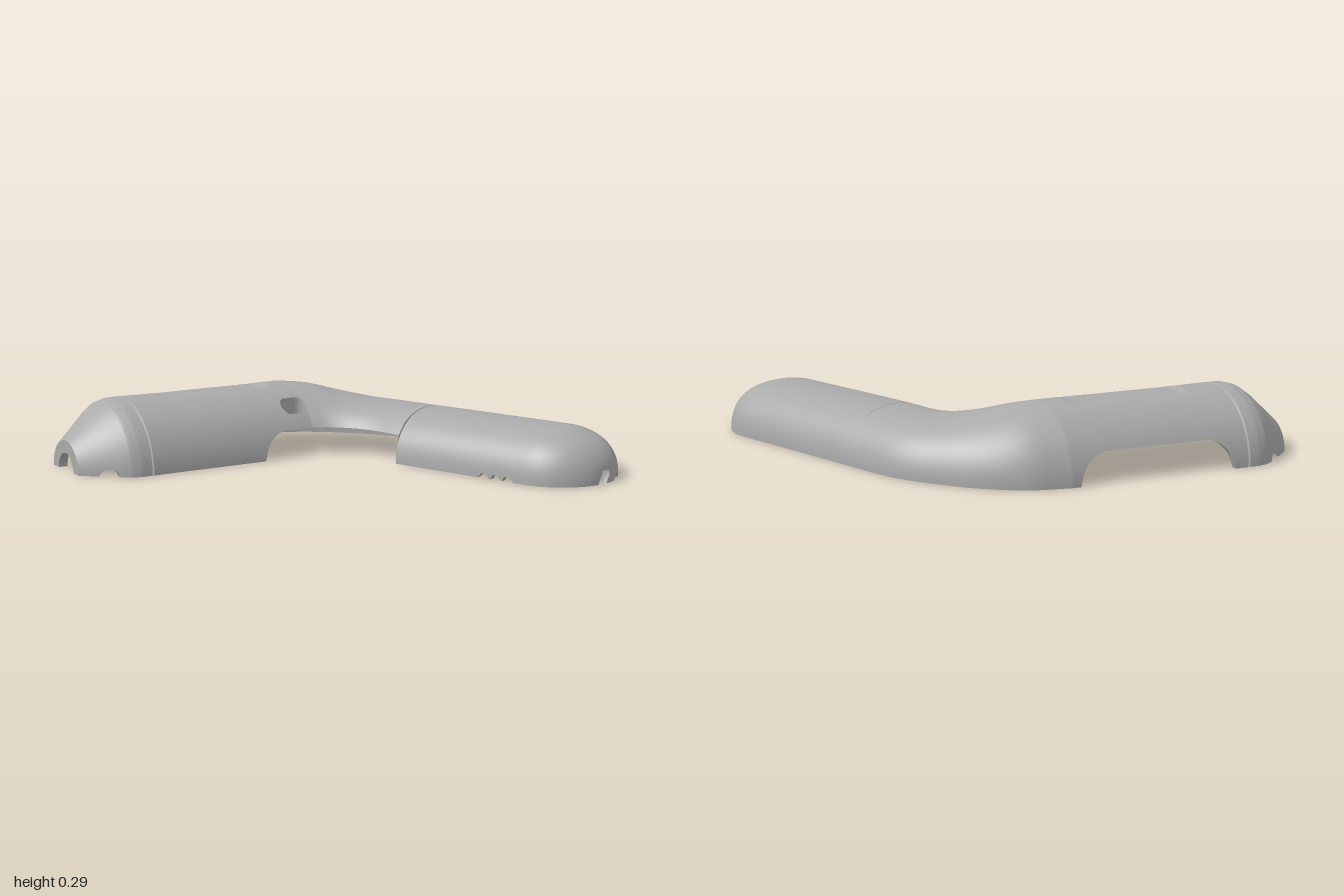
import * as THREE from 'three';
import { toCreasedNormals } from 'three/addons/utils/BufferGeometryUtils.js';

const AXIS_Z = -0.565, WALL = 0.025, BARREL_R = 0.29;
const HEIGHT = 0.213, HALF_W = 0.26;
const DIR = new THREE.Vector3(0.342, 0, 0.94);       // along the handle
const SIDE = new THREE.Vector3(0.94, 0, -0.342);     // across the handle
const HANDLE_END = new THREE.Vector3(0.735, 0, 0.59);
const SLOT = { x0: -0.017, x1: 0.037, z: -0.373, r: 0.033 };

const arch = (d, half, h) => h * Math.sqrt(Math.max(0, 1 - (d / half) ** 2));
const corner = (d, r) => (d <= 0 ? 0 : d >= r ? r : Math.sqrt(r * r - (r - d) ** 2));

// Grid of points to triangles; skip(a, b, c) leaves holes
function gridGeometry(rows, skip = () => false) {
  const n = rows[0].length, index = [], flat = rows.flat();
  const tri = (a, b, c) => { if (!skip(flat[a], flat[b], flat[c])) index.push(a, b, c); };
  for (let i = 0; i < rows.length - 1; i++) for (let j = 0; j < n - 1; j++) {
    const a = i * n + j, b = a + n;
    tri(a, b, a + 1);
    tri(b, b + 1, a + 1);
  }
  const g = new THREE.BufferGeometry().setFromPoints(flat);
  g.setIndex(index);
  return toCreasedNormals(g, 0.5);
}

// Cross-sections from nose to handle end: centre c, half-width vector v, height h, squareness p
function stations(inner) {
  const list = [], th = inner ? WALL : 0;
  const add = (c, v, h, p) => list.push({ c, v, h, p });

  // nose and barrel: x, outer radius, inner radius
  const prof = [[-1, 0.13, 0.075], [-0.96, 0.165, 0.075], [-0.955, 0.169, 0.14], [-0.86, 0.252, 0.222],
    [-0.82, 0.28, 0.25], [-0.78, 0.291, 0.265], [-0.735, 0.292, 0.265], [-0.73, 0.284, 0.265],
    [-0.725, 0.292, 0.265], [-0.6, BARREL_R, 0.265], [0.07, BARREL_R, 0.265]];
  for (let k = 0; k < prof.length - 1; k++) {
    const A = prof[k], B = prof[k + 1], steps = Math.ceil((B[0] - A[0]) / 0.0075);
    for (let s = 0; s < steps; s++) {
      const [x, ro, ri] = A.map((q, m) => q + (B[m] - q) * s / steps), r = inner ? ri : ro;
      add(new THREE.Vector3(x, 0, AXIS_Z), new THREE.Vector3(0, 0, -r), r, 2);
    }
  }

  // elbow: inner x, inner z, outer x, outer z, height
  const bend = [[0.07, -0.275, 0.07, -0.855, 0.29], [0.13, -0.24, 0.24, -0.815, 0.275],
    [0.175, -0.19, 0.41, -0.705, 0.245], [0.21, -0.13, 0.55, -0.555, 0.222],
    [0.237, -0.06, 0.645, -0.42, 0.214], [0.262, 0.035, 0.735, -0.19, HEIGHT],
    [0.3, 0.145, 0.789, -0.033, HEIGHT]];
  const inCurve = new THREE.CatmullRomCurve3(bend.map(b => new THREE.Vector3(b[0], b[4], b[1])));
  const outCurve = new THREE.CatmullRomCurve3(bend.map(b => new THREE.Vector3(b[2], b[4], b[3])));
  for (let s = 0; s <= 96; s++) {
    const u = s / 96, a = inCurve.getPoint(u), b = outCurve.getPoint(u), h = a.y - th;
    a.y = b.y = 0;
    const v = b.clone().sub(a).multiplyScalar(0.5), w = v.length();
    add(a.add(b).multiplyScalar(0.5), v.multiplyScalar((w - th) / w), h, 2 + 0.3 * u);
  }

  // straight handle
  const start = list[list.length - 1].c;
  for (let s = 1; s < 60; s++)
    add(start.clone().lerp(HANDLE_END, s / 60), SIDE.clone().multiplyScalar(HALF_W - th), HEIGHT - th, 2.3);

  // domed handle end
  for (let s = 0; s <= 45; s++) {
    const a = s / 45 * Math.PI / 2, w = HALF_W - th, cos = Math.max(Math.cos(a), 1e-4);
    add(HANDLE_END.clone().addScaledVector(DIR, w * Math.sin(a)),
      SIDE.clone().multiplyScalar(w * cos), (HEIGHT - th) * cos ** 0.8, 2.3);
  }
  return list;
}

// Height of the lower edge on the trigger side and on the back side
function edgeHeights({ c, v }) {
  const a = c.clone().sub(v), b = c.clone().add(v);
  const nose = arch(a.x + 0.895, 0.035, 0.03);
  let front = nose, back = nose;
  if (a.z < 0.06) front = Math.max(front, corner(a.x + 0.18, 0.12));               // trigger opening
  if (b.z < -0.7) back = Math.max(back, Math.min(corner(b.x + 0.66, 0.125), corner(0.03 - b.x, 0.125)));
  if (a.z > 0.3 && a.z < 0.65) for (const x of [0.425, 0.445, 0.465])              // small grooves
    front = Math.max(front, arch(a.x - x, 0.008, 0.022));
  if (a.z > 0.7) front = Math.max(front, Math.abs(a.x - 0.78) < 0.02 ? 0.055 : 0); // cord notch
  if (b.z > 0.6) for (const z of [0.72, 0.79]) back = Math.max(back, arch(b.z - z, 0.025, 0.025));
  return [front, back];
}

// Moves points inside the button slot to its edge
function openSlot(p, radius) {
  const cx = THREE.MathUtils.clamp(p.x, SLOT.x0, SLOT.x1), dx = p.x - cx, dz = p.z - SLOT.z;
  const d = Math.hypot(dx, dz);
  if (p.y < 0.1 || d >= SLOT.r) return;
  p.inSlot = true;
  p.x = cx + (d ? dx / d : 0) * SLOT.r;
  p.z = SLOT.z + (d ? dz / d : 1) * SLOT.r;
  p.y = Math.sqrt(radius ** 2 - (p.z - AXIS_Z) ** 2);
}

function sectionPoints({ c, v, h, p }, [front, back], inner) {
  const pts = [], M = 52, e = 2 / p;
  const angle = y => Math.asin(Math.min(1, y / h) ** (p / 2));
  const a0 = angle(front), a1 = Math.PI - angle(back);
  for (let j = 0; j <= M; j++) {
    const t = a0 + (a1 - a0) * j / M, cs = Math.cos(t);
    const q = c.clone().addScaledVector(v, -Math.sign(cs) * Math.abs(cs) ** e);
    q.y = h * Math.max(0, Math.sin(t)) ** e;
    // shallow flat panel on top of the barrel
    if (!inner && q.x > -0.58 && q.x < -0.02) {
      const k = Math.min(1, (q.x + 0.58) / 0.04, (-0.02 - q.x) / 0.04);
      q.y = Math.min(q.y, 0.292 - 0.014 * k);
    }
    openSlot(q, inner ? BARREL_R - WALL : BARREL_R);
    pts.push(q);
  }
  return pts;
}

// Half shell with outer wall, inner wall and rims in one closed loop per section
function shellGeometry() {
  const outer = stations(false), inside = stations(true);
  const rows = outer.map((s, i) => {
    const cut = edgeHeights(s);
    const o = sectionPoints(s, cut, false), n = sectionPoints(inside[i], cut, true);
    return [...o, ...n.reverse(), o[0].clone()];
  });
  // flat ring closing the nose tip
  const half = (rows[0].length - 1) / 2, n = rows[0].slice(half, 2 * half);
  rows.unshift([...n.slice().reverse(), ...n, n[n.length - 1]].map(q => q.clone()));
  return gridGeometry(rows, (a, b, c) => a.inSlot && b.inSlot && c.inSlot);
}

// Oval sleeve under the button slot
function sleeveGeometry() {
  const rows = [], top = (z, r) => Math.sqrt(r * r - (z - AXIS_Z) ** 2), N = 40;
  for (let k = 0; k <= N; k++) {
    const t = -k / N * Math.PI * 2, cx = Math.cos(t) >= 0 ? SLOT.x1 : SLOT.x0;
    const at = (r, y) => {
      const z = SLOT.z + r * Math.sin(t);
      return new THREE.Vector3(cx + r * Math.cos(t), y ?? top(z, r > SLOT.r ? BARREL_R - WALL / 2 : BARREL_R), z);
    };
    const R = SLOT.r + 0.012;
    rows.push([at(R), at(R, 0.13), at(SLOT.r, 0.13), at(SLOT.r)]);
  }
  return gridGeometry(rows);
}

export function createModel() {
  const group = new THREE.Group();
  group.name = 'toolHousingHalf';
  const grey = new THREE.MeshStandardMaterial({ color: 0xaaaaaa, side: THREE.DoubleSide });
  grey.name = 'grey';
  const add = (name, geometry) => {
    const mesh = new THREE.Mesh(geometry, grey);
    mesh.name = name;
    group.add(mesh);
  };
  add('housingShell', shellGeometry());
  add('buttonSleeve', sleeveGeometry());
  return group;
}
